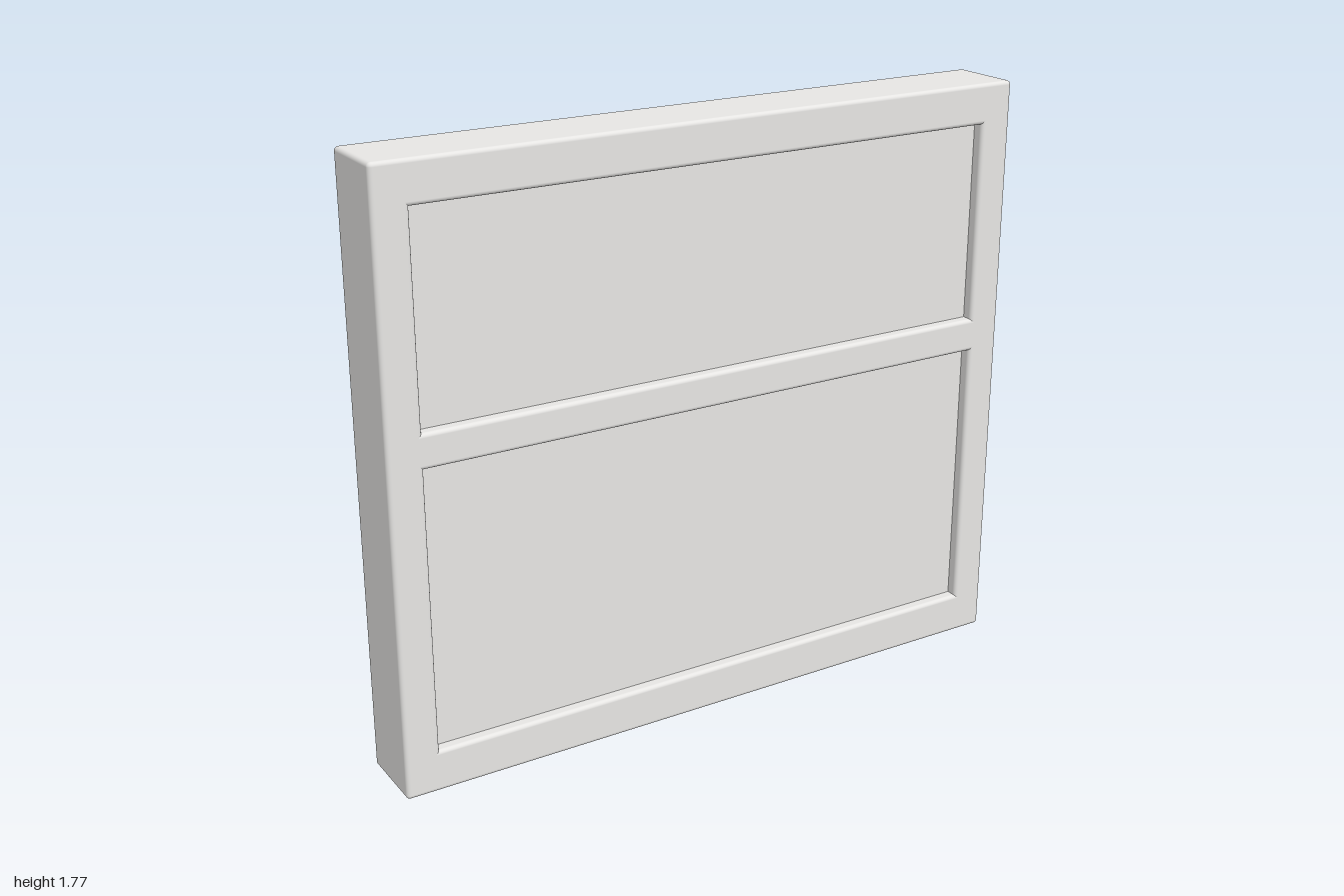
import * as THREE from 'three';
import { RoundedBoxGeometry } from 'three/addons/geometries/RoundedBoxGeometry.js';

const HEIGHT = 1.77, DEPTH = 0.225, RECESS = 0.035, EDGE = 0.012;
const OPENING = 0.898; // half width of both openings

// Vertical extents of the horizontal rails; panels fill the gaps between them
const RAILS = [
  { name: 'bottomRail', y0: 0, y1: 0.125 },
  { name: 'crossbar', y0: 0.955, y1: 1.055 },
  { name: 'topRail', y0: 1.65, y1: HEIGHT },
];

// The whole piece leans forward very slightly
function lean(geometry) {
  const p = geometry.attributes.position;
  for (let i = 0; i < p.count; i++) {
    p.setZ(i, p.getZ(i) + 0.004 * (p.getY(i) / (HEIGHT / 2) - 1));
  }
  return geometry;
}

export function createModel() {
  const group = new THREE.Group();
  group.name = 'panelledFrame';
  const grey = new THREE.MeshStandardMaterial({ color: 0xe6e5e3 });
  grey.name = 'warmGrey';

  function add(name, geometry, x0, x1, y0, y1) {
    geometry.translate((x0 + x1) / 2, (y0 + y1) / 2, 0);
    const mesh = new THREE.Mesh(lean(geometry), grey);
    mesh.name = name;
    group.add(mesh);
  }
  const bar = (name, x0, x1, y0, y1) =>
    add(name, new RoundedBoxGeometry(x1 - x0, y1 - y0, DEPTH, 3, EDGE), x0, x1, y0, y1);

  // Upright sides and horizontal rails, merging flush at the joints
  bar('leftStile', OPENING, 1, 0, HEIGHT);
  bar('rightStile', -1, -OPENING, 0, HEIGHT);
  for (const r of RAILS) bar(r.name, -1, 1, r.y0, r.y1);

  // Panels recessed on both faces, tucked slightly into the frame
  ['lowerPanel', 'upperPanel'].forEach((name, i) => {
    const y0 = RAILS[i].y1 - 0.01, y1 = RAILS[i + 1].y0 + 0.01, x = OPENING + 0.01;
    add(name, new THREE.BoxGeometry(2 * x, y1 - y0, DEPTH - 2 * RECESS), -x, x, y0, y1);
  });
  return group;
}
